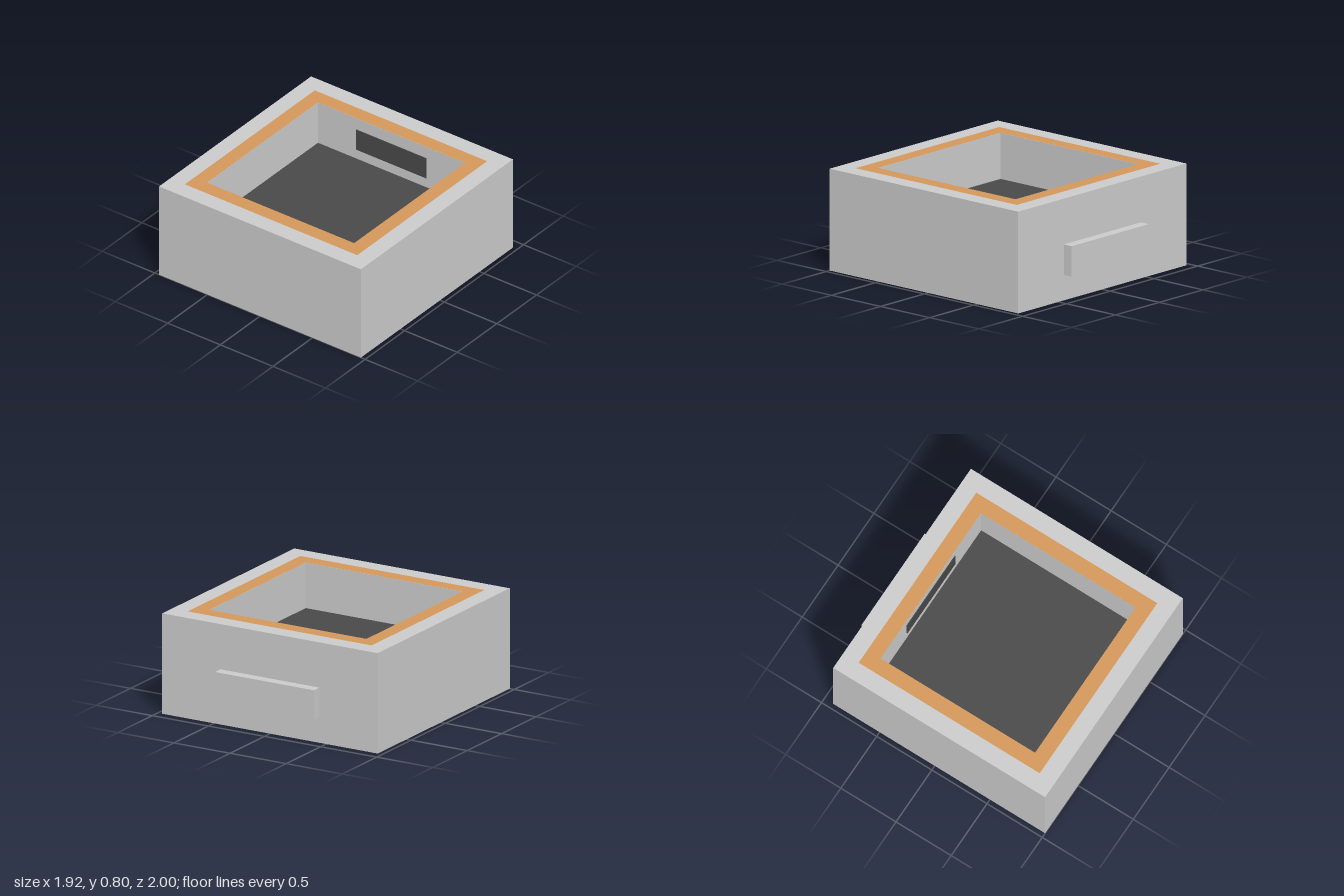
import * as THREE from 'three';

const GREY = 0xcccccc, DARK = 0x494949, ORANGE = 0xd4985b;
const CENTRE_Z = 0.04; // the rear bar shifts the tray forward

function rect(path, half) {
  path.moveTo(-half, -half);
  path.lineTo(half, -half);
  path.lineTo(half, half);
  path.lineTo(-half, half);
  path.closePath();
  return path;
}

// square ring of given half sizes
function ringShape(outer, inner) {
  const shape = rect(new THREE.Shape(), outer);
  shape.holes.push(rect(new THREE.Path(), inner));
  return shape;
}

function part(name, geometry, color, x, y, z) {
  const mesh = new THREE.Mesh(geometry, new THREE.MeshStandardMaterial({ color }));
  mesh.name = name;
  mesh.position.set(x, y, z);
  return mesh;
}

export function createModel() {
  const model = new THREE.Group();
  model.name = 'openTray';

  // thick square wall, open through the middle
  const walls = new THREE.ExtrudeGeometry(ringShape(0.96, 0.7), { depth: 0.8, bevelEnabled: false });
  walls.rotateX(-Math.PI / 2);
  model.add(part('walls', walls, GREY, 0, 0, CENTRE_Z));

  // coloured band laid into the top face
  const band = new THREE.ShapeGeometry(ringShape(0.82, 0.7));
  band.rotateX(-Math.PI / 2);
  const trim = part('rimBand', band, ORANGE, 0, 0.801, CENTRE_Z);
  trim.material.side = THREE.DoubleSide;
  model.add(trim);

  // dark block filling the lower half, with a hairline gap to the walls
  model.add(part('floor', new THREE.BoxGeometry(1.39, 0.44, 1.39), DARK, 0, 0.22, CENTRE_Z));

  // dark plate on the inside of the rear wall
  model.add(part('innerPlate', new THREE.BoxGeometry(0.67, 0.18, 0.02), DARK, 0, 0.61, -0.664));

  // bar on the outside of the rear wall
  model.add(part('rearBar', new THREE.BoxGeometry(0.88, 0.24, 0.08), GREY, 0, 0.32, -0.96));

  return model;
}
